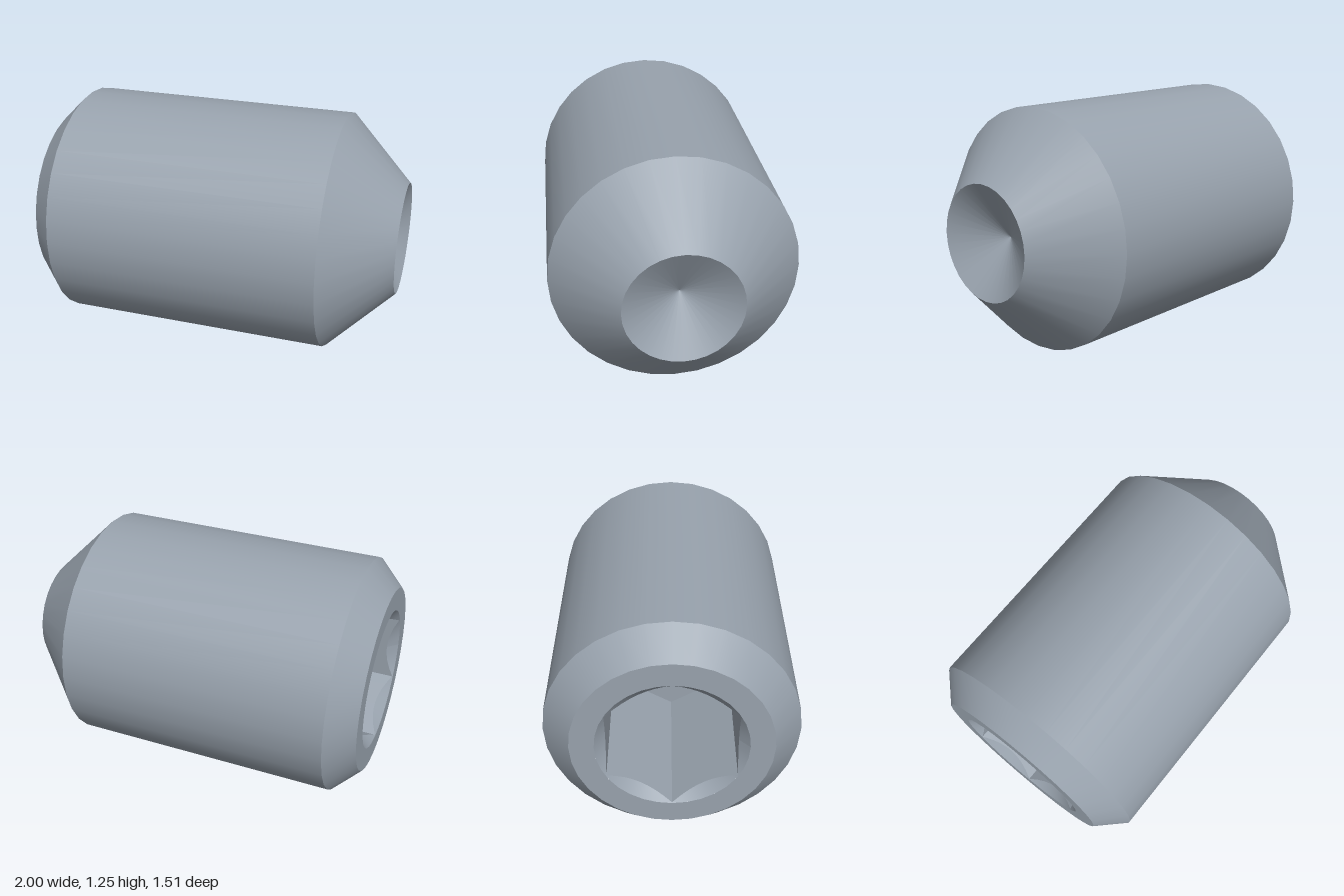
import * as THREE from 'three';

export function createModel() {
  const steel = new THREE.MeshStandardMaterial({ color: 0x98a2ad });
  steel.name = 'steel';
  const group = new THREE.Group();
  group.name = 'setScrew';

  // The screw is turned about local y: socket end at -y, cup point at +y
  const END = 0.94, RADIUS = 0.625, RIM = 0.37;
  const HEX = 0.367, FLAT = HEX * Math.cos(Math.PI / 6), FLOOR = -0.16;

  const add = (name, geometry) => {
    const mesh = new THREE.Mesh(geometry, steel);
    mesh.name = name;
    group.add(mesh);
  };
  const turned = (a, b, sides = 32) =>
    new THREE.LatheGeometry([new THREE.Vector2(...a), new THREE.Vector2(...b)], sides);

  // Outer faces, each its own mesh so the edges between them stay sharp
  const profile = [[RIM, -END], [0.49, -END], [RADIUS, -0.805], [RADIUS, 0.608], [0.293, END], [0, 0.77]];
  ['socketRim', 'rearChamfer', 'body', 'taperedPoint', 'cupHollow'].forEach((name, i) =>
    add(name, turned(profile[i], profile[i + 1])));

  // Distance from the axis to the hexagon at a given angle, with corners on x
  const hexRadius = (angle) => {
    const sector = Math.PI / 3;
    const a = ((angle % sector) + sector) % sector;
    return FLAT / Math.cos(a - sector / 2);
  };

  // Moves the edge at height y out to the hexagon, where the conical mouth meets it
  const fitHex = (geometry, y, heightAt) => {
    const p = geometry.attributes.position;
    for (let i = 0; i < p.count; i++) {
      if (Math.abs(p.getY(i) - y) > 1e-4) continue;
      const angle = Math.atan2(p.getZ(i), p.getX(i));
      const r = hexRadius(angle);
      p.setXYZ(i, r * Math.cos(angle), heightAt(r), r * Math.sin(angle));
    }
    return geometry;
  };
  const mouthHeight = (r) => -END + RIM - r;

  // Conical mouth of the socket
  const mouth = fitHex(turned([FLAT, -0.89], [RIM, -END], 48), -0.89, mouthHeight);
  mouth.computeVertexNormals();
  add('socketMouth', mouth);

  // Six flat socket walls
  let walls = turned([FLAT, FLOOR], [FLAT, -0.89], 48);
  fitHex(walls, FLOOR, () => FLOOR);
  fitHex(walls, -0.89, mouthHeight);
  walls = walls.toNonIndexed();
  walls.computeVertexNormals();
  add('socketWalls', walls);

  // Socket floor
  add('socketFloor', new THREE.CircleGeometry(HEX, 6).rotateX(Math.PI / 2).translate(0, FLOOR, 0));

  // Lay the screw down, turned slightly towards the front
  group.rotation.set(0, -0.207, -Math.PI / 2);
  group.position.set(0.018, RADIUS, 0);

  const model = new THREE.Group();
  model.name = 'model';
  model.add(group);
  return model;
}
